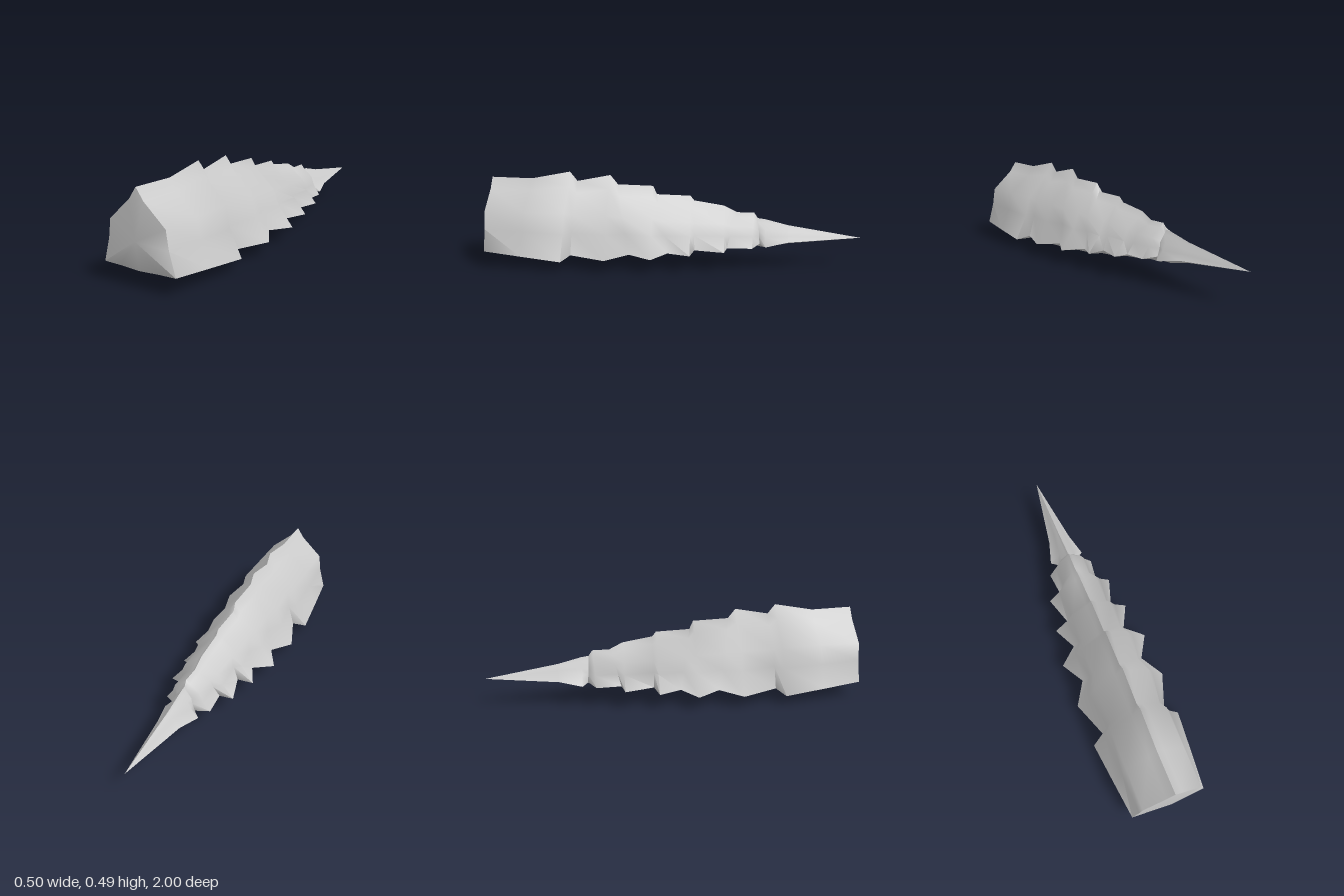
import * as THREE from 'three';
import { toCreasedNormals } from 'three/addons/utils/BufferGeometryUtils.js';

// One station per row: ridge z, y | shoulder x, y | lower corner z, x, y | keel z, y
const BODY = [
  [0.98, 0.455, 0.155, 0.295, 0.98, 0.2, 0.09, 0.98, 0.082],
  [0.76, 0.45, 0.155, 0.295, 0.78, 0.222, 0.073, 0.78, 0.08],
  [0.55, 0.49, 0.155, 0.295, 0.56, 0.245, 0.055, 0.56, 0.045],
  [0.51, 0.44, 0.135, 0.28, 0.52, 0.18, 0.075, 0.52, 0.038],
  [0.33, 0.475, 0.15, 0.285, 0.33, 0.25, 0.07, 0.35, 0.001],
  [0.29, 0.425, 0.125, 0.27, 0.21, 0.175, 0.085, 0.31, 0.04],
  [0.1, 0.42, 0.13, 0.27, 0.09, 0.245, 0.08, 0.12, 0.02],
  [0.08, 0.375, 0.108, 0.25, 0.01, 0.15, 0.09, 0.1, 0.055],
  [-0.1, 0.37, 0.112, 0.25, -0.11, 0.21, 0.095, -0.08, 0.045],
  [-0.12, 0.345, 0.095, 0.24, -0.13, 0.13, 0.105, -0.1, 0.075],
  [-0.28, 0.32, 0.095, 0.24, -0.285, 0.18, 0.11, -0.25, 0.07],
  [-0.35, 0.285, 0.07, 0.22, -0.3, 0.11, 0.115, -0.27, 0.095],
  [-0.44, 0.285, 0.07, 0.22, -0.43, 0.125, 0.12, -0.43, 0.085],
  [-0.46, 0.255, 0.04, 0.2, -0.47, 0.06, 0.13, -0.45, 0.105],
];
const SPIKE = [
  BODY[BODY.length - 1],
  [-0.5, 0.25, 0.038, 0.2, -0.5, 0.095, 0.12, -0.5, 0.095],
  [-0.62, 0.22, 0.025, 0.19, -0.62, 0.06, 0.14, -0.62, 0.12],
  [-1, 0.16, 0, 0.16, -1, 0, 0.16, -1, 0.16],
];

// Closed cross-section, clockwise from the ridge as seen from the front
function section([tz, ty, sx, sy, cz, cx, cy, bz, by]) {
  const top = new THREE.Vector3(0, ty, tz);
  const shoulder = new THREE.Vector3(sx, sy, (tz + cz) / 2);
  const corner = new THREE.Vector3(cx, cy, cz);
  const keel = new THREE.Vector3(0, by, bz);
  const crest = top.clone().lerp(shoulder, 0.26);
  crest.y -= (ty - sy) * 0.1;
  const flank = shoulder.clone().lerp(corner, 0.45);
  flank.x -= (cx - sx) * 0.15;
  const belly = corner.clone().lerp(keel, 0.45);
  belly.y += (cy - by) * 0.2;
  const half = [crest, shoulder, flank, corner, belly];
  const mirrored = half.map((p) => new THREE.Vector3(-p.x, p.y, p.z)).reverse();
  return [top, ...half, keel, ...mirrored];
}

// Skin between consecutive cross-sections, with an optional front cap
function loft(rows, capCentre) {
  const rings = rows.map(section);
  const n = rings[0].length;
  const pos = [];
  const tri = (...pts) => pts.forEach((p) => pos.push(p.x, p.y, p.z));
  for (let i = 0; i < rings.length - 1; i++) {
    for (let j = 0; j < n; j++) {
      const k = (j + 1) % n;
      const a = rings[i][j], b = rings[i][k], c = rings[i + 1][k], d = rings[i + 1][j];
      tri(a, b, c);
      if (c.distanceTo(d) > 1e-5) tri(a, c, d);
    }
  }
  if (capCentre) {
    for (let j = 0; j < n; j++) tri(capCentre, rings[0][(j + 1) % n], rings[0][j]);
  }
  const geo = new THREE.BufferGeometry();
  geo.setAttribute('position', new THREE.Float32BufferAttribute(pos, 3));
  return toCreasedNormals(geo, 1.4);
}

export function createModel() {
  const group = new THREE.Group();
  group.name = 'segmentedTail';
  const material = new THREE.MeshStandardMaterial({ color: 0xcccccc, side: THREE.DoubleSide });

  // Overlapping, flared segments with a nearly flat front
  const body = new THREE.Mesh(loft(BODY, new THREE.Vector3(0, 0.22, 1)), material);
  body.name = 'segmentedBody';

  // Long pointed end
  const spike = new THREE.Mesh(loft(SPIKE), material);
  spike.name = 'tailSpike';

  group.add(body, spike);
  return group;
}
